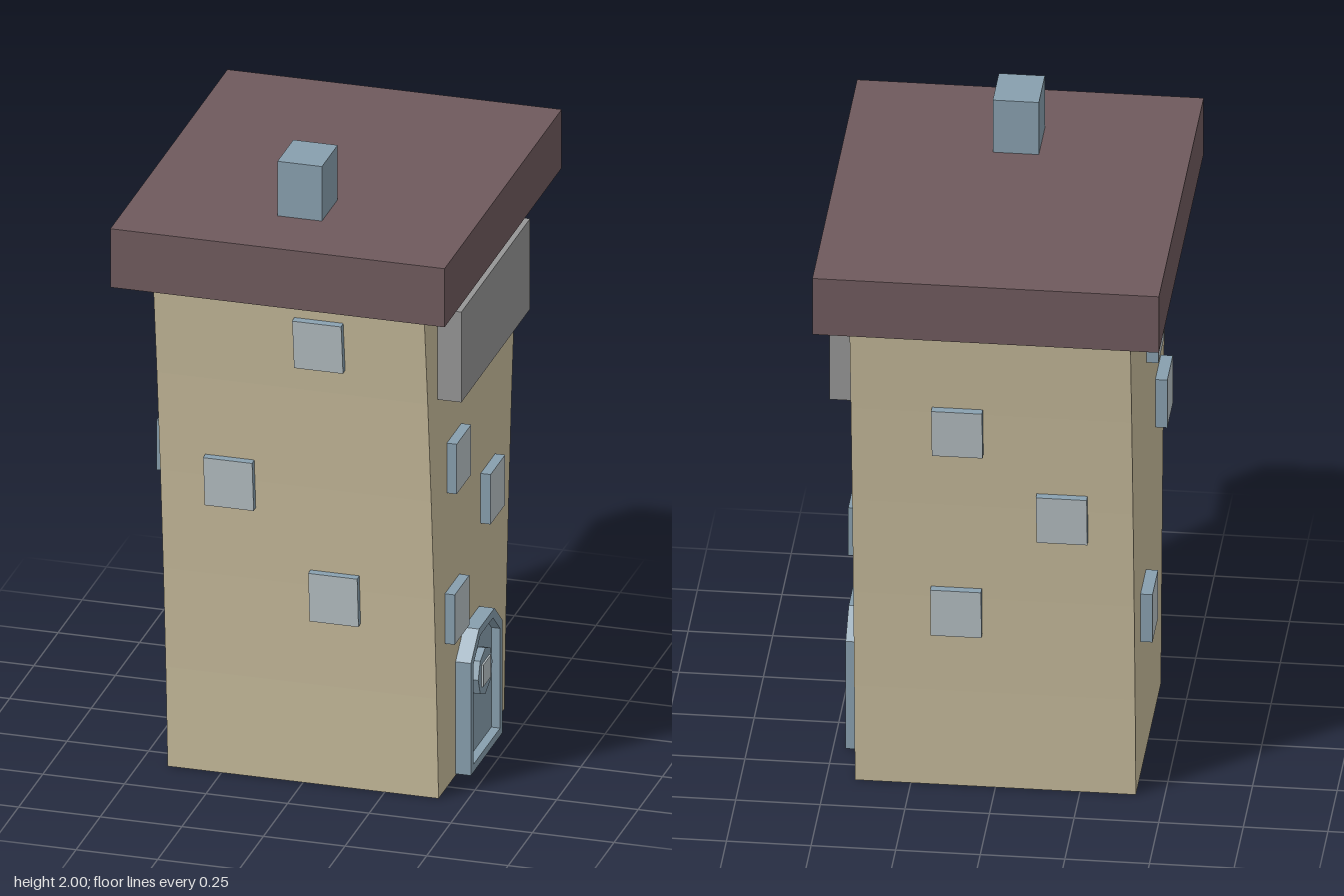
import * as THREE from 'three';

const mat = (name, color, side = THREE.FrontSide) => {
  const m = new THREE.MeshStandardMaterial({ color, side });
  m.name = name;
  return m;
};

export function createModel() {
  const house = new THREE.Group();
  house.name = 'towerHouse';
  const plaster = mat('plaster', 0xc9bd9d, THREE.DoubleSide);
  const roofBrown = mat('roofBrown', 0x6f5a5d);
  const blueGrey = mat('blueGrey', 0x889fae);
  const glass = mat('glass', 0xb8c2c6);
  const grey = mat('signGrey', 0x959595);

  const add = (name, geo, material, parent = house) => {
    const m = new THREE.Mesh(geo, material);
    m.name = name;
    parent.add(m);
    return m;
  };
  // box given by its minimum and maximum corners
  const block = (name, material, a, b) => {
    const m = add(name, new THREE.BoxGeometry(b[0] - a[0], b[1] - a[1], b[2] - a[2]), material);
    m.position.set((a[0] + b[0]) / 2, (a[1] + b[1]) / 2, (a[2] + b[2]) / 2);
    return m;
  };

  // Walls: open tube of four sides, flaring in depth towards the top
  const W = 0.415, H = 1.64;
  const depth = y => 0.34 + 0.0525 * y + 0.0248 * y * y;
  const slope = y => 0.0525 + 0.0496 * y;
  let walls = new THREE.CylinderGeometry(1, 1, H, 4, 5, true, Math.PI / 4);
  walls.translate(0, H / 2, 0);
  const p = walls.attributes.position;
  for (let i = 0; i < p.count; i++) {
    p.setX(i, Math.sign(p.getX(i)) * W);
    p.setZ(i, Math.sign(p.getZ(i)) * depth(p.getY(i)));
  }
  walls = walls.toNonIndexed();
  walls.computeVertexNormals();
  add('walls', walls, plaster);

  // Roof slab, grey rear soffit and chimney
  block('roof', roofBrown, [-0.512, 1.637, -0.605], [0.512, 1.825, 0.605]);
  const soffit = new THREE.ShapeGeometry(new THREE.Shape([
    [-0.512, -0.605], [0.512, -0.605], [W, -0.493], [-W, -0.493],
  ].map(([x, z]) => new THREE.Vector2(x, z))));
  soffit.rotateX(Math.PI / 2);
  add('rearSoffit', soffit, grey).position.y = 1.634;
  block('chimney', blueGrey, [-0.068, 1.82, 0.212], [0.068, 2, 0.375]);

  // Sign board over the door side
  block('signBoard', grey, [W - 0.01, 1.285, -0.36], [0.488, 1.575, 0.35]);

  // Windows: frame-coloured edges with a glass outer face
  const windowGeo = new THREE.BoxGeometry(0.15, 0.16, 0.045);
  const windowMats = [blueGrey, blueGrey, blueGrey, blueGrey, glass, blueGrey];
  const addWindow = (name, x, y, z, turn, tilt) => {
    const w = add(name, windowGeo, windowMats);
    w.position.set(x, y, z);
    w.rotation.set(tilt, turn, 0, 'YXZ');
  };
  for (const [x, y] of [[0.09, 1.475], [-0.2, 0.975], [0.112, 0.628]])
    addWindow('frontWindow', x, y, depth(y), 0, Math.atan(slope(y)));
  for (const [x, y] of [[0.1, 1.25], [-0.206, 0.96], [0.11, 0.612]])
    addWindow('backWindow', x, y, -depth(y), Math.PI, Math.atan(slope(y)));
  for (const [z, y] of [[0.18, 1.025], [-0.17, 0.78], [0.2, 0.55]])
    addWindow('leftWindow', W + 0.008, y, z, Math.PI / 2, 0);
  for (const [z, y] of [[0.02, 1.375], [0.26, 1.025], [-0.14, 0.525]])
    addWindow('rightWindow', -W - 0.013, y, z, -Math.PI / 2, 0);

  // Door: arched frame, recessed panel and small octagonal window
  const door = new THREE.Group();
  door.name = 'door';
  door.position.x = W;
  door.rotation.y = Math.PI / 2;
  house.add(door);
  const arch = (w, bottom, shoulder, t, top) => [
    [-w, bottom], [w, bottom], [w, shoulder], [t, top], [-t, top], [-w, shoulder],
  ].map(([x, y]) => new THREE.Vector2(x, y));
  const inner = arch(0.138, 0.03, 0.35, 0.065, 0.415);
  const frame = new THREE.Shape(arch(0.164, 0.005, 0.365, 0.08, 0.44));
  frame.holes.push(new THREE.Path(inner));
  const extrude = (shape, d) =>
    new THREE.ExtrudeGeometry(shape, { depth: d, bevelEnabled: false });
  add('doorFrame', extrude(frame, 0.047), blueGrey, door);
  add('doorPanel', extrude(new THREE.Shape(inner), 0.02), blueGrey, door);
  const disc = new THREE.CylinderGeometry(0.074, 0.074, 0.025, 8).toNonIndexed();
  disc.rotateX(Math.PI / 2);
  disc.computeVertexNormals();
  add('doorWindowRim', disc, blueGrey, door).position.set(0, 0.272, 0.03);
  add('doorWindowPane', new THREE.BoxGeometry(0.08, 0.07, 0.008), glass, door)
    .position.set(0, 0.272, 0.044);

  return house;
}
